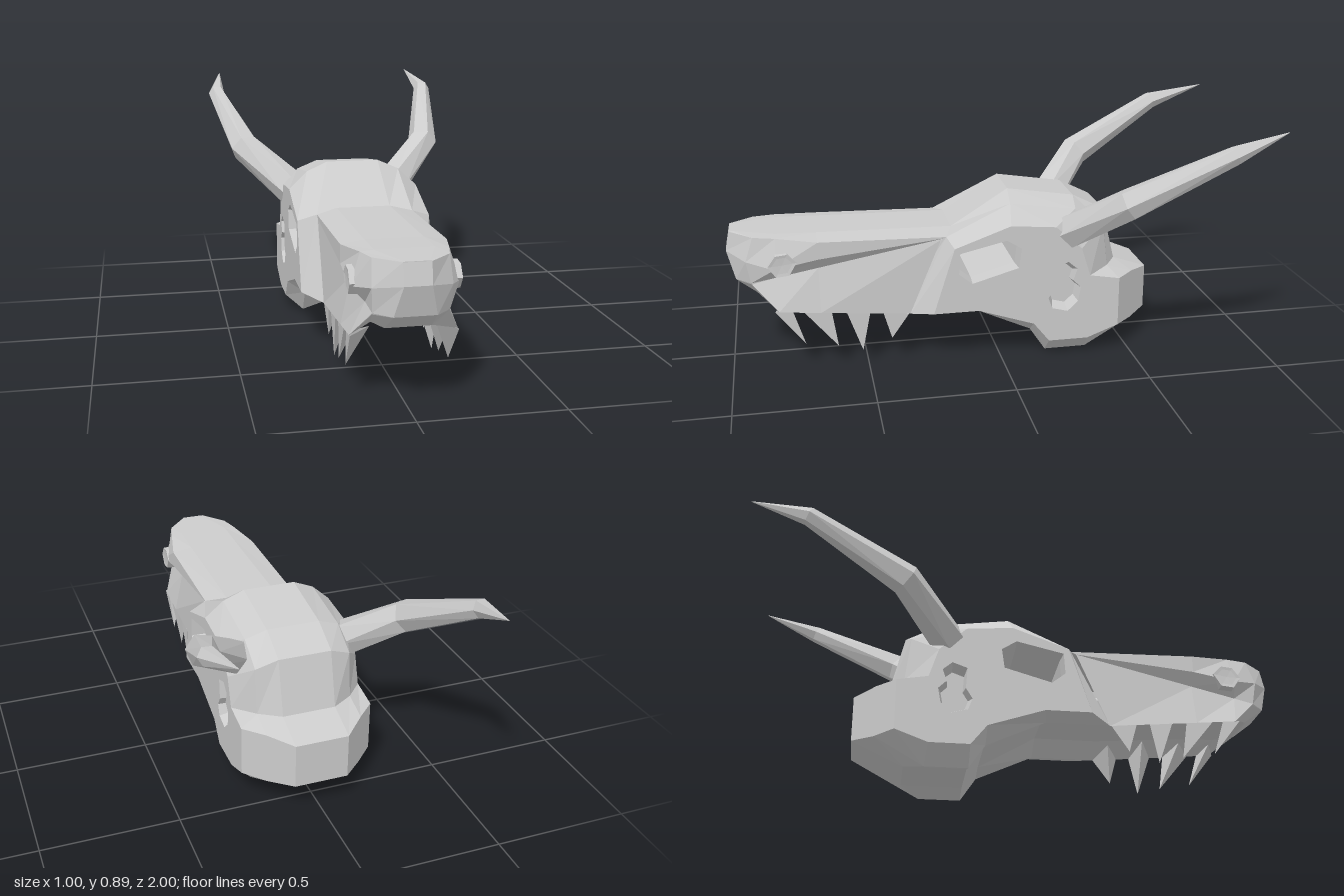
import * as THREE from 'three';

const material = new THREE.MeshStandardMaterial({ color: 0xcccccc, flatShading: true, side: THREE.DoubleSide });

function meshOf(name, geometry) {
  const mesh = new THREE.Mesh(geometry, material);
  mesh.name = name;
  return mesh;
}

// Builds faces from polygons given as lists of [x, y, z] corners.
function faces(name, polygons) {
  const pos = [];
  for (const p of polygons) {
    for (let i = 1; i < p.length - 1; i++) pos.push(...p[0], ...p[i], ...p[i + 1]);
  }
  const g = new THREE.BufferGeometry();
  g.setAttribute('position', new THREE.Float32BufferAttribute(pos, 3));
  g.computeVertexNormals();
  return meshOf(name, g);
}

// Quads between successive closed rings of equal length.
function loft(rings) {
  const quads = [];
  for (let i = 0; i < rings.length - 1; i++) {
    const a = rings[i], b = rings[i + 1], n = a.length;
    for (let j = 0; j < n; j++) {
      const k = (j + 1) % n;
      quads.push([a[j], b[j], b[k], a[k]]);
    }
  }
  return quads;
}

// Places a (z, y) outline at a given x, scaled about its middle.
function layer(outline, x, s = 1) {
  const n = outline.length;
  const cz = outline.reduce((t, p) => t + p[0], 0) / n;
  const cy = outline.reduce((t, p) => t + p[1], 0) / n;
  return outline.map(([z, y]) => [x, cy + (y - cy) * s, cz + (z - cz) * s]);
}

// Cranium outlines (z, y): outer side, rounded shoulder, middle strip
const outer = [[0.26, 0.21], [0.18, 0.46], [-0.03, 0.535], [-0.2, 0.52], [-0.3, 0.43], [-0.335, 0.32],
  [-0.45, 0.3], [-0.45, 0.11], [-0.33, 0.065], [-0.18, 0.065], [-0.12, 0.14], [0.09, 0.21]];
const shoulder = [[0.34, 0.19], [0.2, 0.485], [-0.04, 0.6], [-0.29, 0.565], [-0.4, 0.5], [-0.42, 0.33],
  [-0.52, 0.3], [-0.52, 0.105], [-0.34, 0], [-0.18, 0], [-0.12, 0.09], [0.1, 0.19]];
const middle = [[0.34, 0.24], [0.17, 0.5], [-0.045, 0.635], [-0.3, 0.595], [-0.42, 0.535], [-0.47, 0.33],
  [-0.6, 0.285], [-0.6, 0.115], [-0.41, 0.025], [-0.18, 0.025], [-0.12, 0.11], [0.1, 0.24]];
const eye = [[0.16, 0.44], [-0.015, 0.48], [-0.07, 0.445], [-0.06, 0.37], [0.115, 0.32], [0.165, 0.36]];
const temple = [[-0.195, 0.36], [-0.25, 0.38], [-0.285, 0.35], [-0.27, 0.305], [-0.3, 0.275],
  [-0.29, 0.22], [-0.25, 0.182], [-0.19, 0.198], [-0.175, 0.24], [-0.2, 0.28]];
const nostril = [[0.855, 0.413], [0.825, 0.455], [0.78, 0.46], [0.745, 0.425], [0.775, 0.375], [0.825, 0.37]];

function cranium() {
  const rings = [layer(outer, -0.25), layer(shoulder, -0.18), layer(middle, -0.1),
    layer(middle, 0.1), layer(shoulder, 0.18), layer(outer, 0.25)];
  return faces('cranium', loft(rings));
}

// Flat cheek with openings for the eye and temple
function cheek() {
  const toPoints = o => o.map(([z, y]) => new THREE.Vector2(-z, y));
  const shape = new THREE.Shape(toPoints(outer));
  shape.holes.push(new THREE.Path(toPoints(eye)), new THREE.Path(toPoints(temple)));
  const g = new THREE.ShapeGeometry(shape);
  g.rotateY(Math.PI / 2);
  g.translate(0.25, 0, 0);
  return meshOf('cheek', g);
}

// Snout: half sections (top, edge, ridge, groove, lip, palate), back to front
function snout() {
  const halves = [
    [[0.1, 0.5, 0.17], [0.18, 0.485, 0.2], [0.18, 0.48, 0.21], [0.18, 0.475, 0.22], [0.18, 0.19, 0.34], [0.1, 0.24, 0.34]],
    [[0.1, 0.508, 0.67], [0.18, 0.495, 0.67], [0.18, 0.43, 0.67], [0.144, 0.385, 0.67], [0.18, 0.22, 0.67], [0.11, 0.27, 0.67]],
    [[0.1, 0.512, 0.82], [0.145, 0.508, 0.82], [0.18, 0.4, 0.83], [0.132, 0.35, 0.84], [0.18, 0.235, 0.82], [0.11, 0.275, 0.82]],
    [[0.045, 0.515, 0.97], [0.125, 0.51, 0.9], [0.13, 0.42, 0.93], [0.125, 0.335, 0.915], [0.125, 0.33, 0.912], [0.08, 0.275, 0.89]],
    [[0.045, 0.515, 0.985], [0.046, 0.513, 0.985], [0.045, 0.44, 1], [0.07, 0.335, 0.97], [0.07, 0.333, 0.968], [0.07, 0.28, 0.9]],
  ];
  const rings = halves.map(h => [...h, ...h.map(([x, y, z]) => [-x, y, z]).reverse()]);
  const quads = loft(rings);
  const r = rings[rings.length - 1];
  for (let j = 0; j < 5; j++) quads.push([r[j], r[11 - j], r[10 - j], r[j + 1]]);
  return faces('snout', quads);
}

// Horn: six-sided rings along a bent path, ending in a point
function horn() {
  const path = [[0.16, 0.45, -0.22, 0.07], [0.215, 0.495, -0.275, 0.068], [0.38, 0.635, -0.435, 0.06],
    [0.465, 0.82, -0.79, 0.034], [0.435, 0.885, -1, 0.001]];
  const c = path.map(p => new THREE.Vector3(p[0], p[1], p[2]));
  const rings = path.map((p, i) => {
    const t = c[Math.min(i + 1, c.length - 1)].clone().sub(c[Math.max(i - 1, 0)]).normalize();
    const u = new THREE.Vector3(0, 1, 0).cross(t).normalize();
    const v = t.clone().cross(u);
    return Array.from({ length: 6 }, (_, k) => {
      const a = -k * Math.PI / 3;
      return c[i].clone().addScaledVector(u, Math.cos(a) * p[3]).addScaledVector(v, Math.sin(a) * p[3]).toArray();
    });
  });
  return faces('horn', loft(rings));
}

// Tooth: three-sided spike hanging from the lip
function tooth([zBack, zFront, yBack, yFront, zTip, yTip]) {
  const b = [0.18, yBack, zBack], f = [0.18, yFront, zFront];
  const inner = [0.11, 0.255, (zBack + zFront) / 2], tip = [0.175, yTip, zTip];
  return faces('tooth', [[f, tip, b], [inner, tip, f], [b, tip, inner]]);
}

// Everything that occurs once on each side
function sideParts(name) {
  const side = new THREE.Group();
  side.name = name;
  side.add(cheek(), horn());
  side.add(faces('templeHollow', loft([layer(temple, 0.25), layer(temple, 0.205, 0.8), layer(temple, 0.205, 0)])));
  side.add(faces('nostril', loft([layer(nostril, 0.14), layer(nostril, 0.184, 0.95),
    layer(nostril, 0.182, 0.7), layer(nostril, 0.18, 0)])));
  const teeth = [
    [0.345, 0.44, 0.19, 0.2, 0.41, 0.095],
    [0.49, 0.575, 0.203, 0.212, 0.52, 0.055],
    [0.63, 0.73, 0.217, 0.226, 0.61, 0.08],
    [0.77, 0.835, 0.23, 0.236, 0.73, 0.1],
  ];
  for (const t of teeth) side.add(tooth(t));
  return side;
}

export function createModel() {
  const model = new THREE.Group();
  model.name = 'hornedSkull';
  const left = sideParts('leftSide');
  const right = sideParts('rightSide');
  right.scale.x = -1;
  // Open eye sockets run through the skull
  const socket = faces('eyeSocket', loft([layer(eye, 0.25), layer(eye, 0.19, 0.95),
    layer(eye, -0.19, 0.95), layer(eye, -0.25)]));
  model.add(cranium(), snout(), socket, left, right);
  return model;
}
